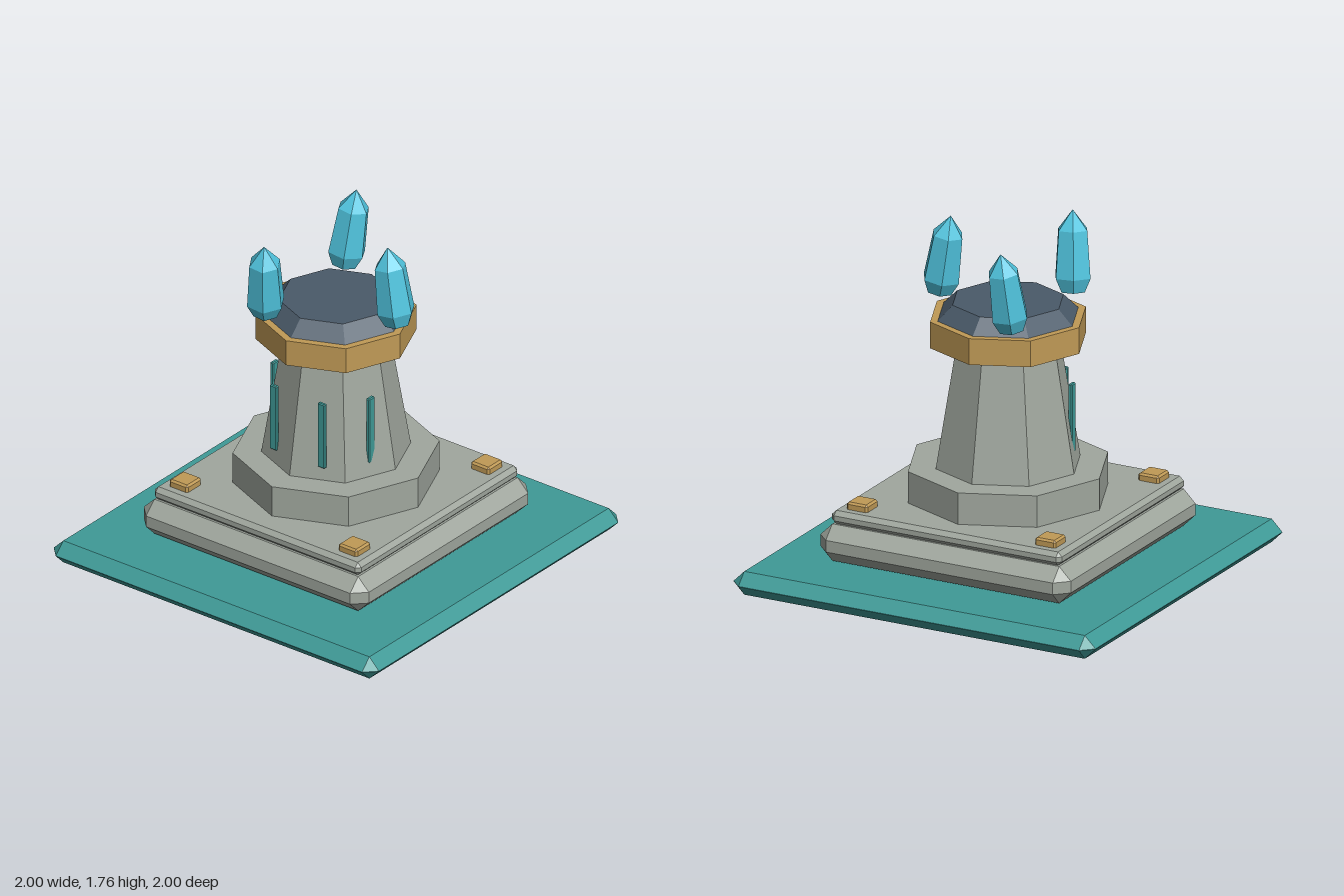
import * as THREE from 'three';
import { ConvexGeometry } from 'three/addons/geometries/ConvexGeometry.js';

function makeMaterial(name, color) {
  const m = new THREE.MeshStandardMaterial({ color, flatShading: true });
  m.name = name;
  return m;
}

// Box with every edge and corner cut by b
function chamferBox(w, h, d, b) {
  const half = [w / 2, h / 2, d / 2];
  const points = [];
  for (const sx of [-1, 1]) for (const sy of [-1, 1]) for (const sz of [-1, 1]) {
    for (let axis = 0; axis < 3; axis++) {
      const p = half.map((v, i) => (i === axis ? v : Math.max(v - b, 0.0005)));
      points.push(new THREE.Vector3(p[0] * sx, p[1] * sy, p[2] * sz));
    }
  }
  return new ConvexGeometry(points);
}

export function createModel() {
  const model = new THREE.Group();
  model.name = 'crystalTower';

  const teal = makeMaterial('teal', 0x3f9a97);
  const stone = makeMaterial('stone', 0xa0a79e);
  const gold = makeMaterial('gold', 0xc09a56);
  const slate = makeMaterial('slate', 0x4a5a69);
  const crystal = makeMaterial('crystal', 0x4fc2dc);

  function add(name, geometry, material, x, y, z) {
    const mesh = new THREE.Mesh(geometry, material);
    mesh.name = name;
    mesh.position.set(x, y, z);
    model.add(mesh);
    return mesh;
  }

  // Square slab and stepped plinth
  add('baseSlab', chamferBox(2, 0.12, 2, 0.059), teal, 0, 0.06, 0);
  add('lowerPlinth', chamferBox(1.384, 0.19, 1.384, 0.065), stone, 0, 0.225, 0);
  add('upperPlinth', chamferBox(1.27, 0.07, 1.27, 0.022), stone, 0, 0.353, 0);

  // Eight-sided tower, from the bottom up: name, top radius, bottom radius, y range
  const tiers = [
    ['collar', 0.505, 0.505, 0.385, 0.55, stone],
    ['shaft', 0.26, 0.365, 0.55, 1.18, stone],
    ['goldBand', 0.393, 0.393, 1.175, 1.31, gold],
    ['slateCap', 0.28, 0.355, 1.31, 1.385, slate],
  ];
  for (const [name, top, bottom, y0, y1, material] of tiers) {
    add(name, new THREE.CylinderGeometry(top, bottom, y1 - y0, 8), material, 0, (y0 + y1) / 2, 0);
  }

  // Corner studs and window strips, mirrored left and right
  const stud = chamferBox(0.115, 0.06, 0.115, 0.01);
  const frontStrip = chamferBox(0.044, 0.355, 0.022, 0.005);
  const sideStrip = chamferBox(0.022, 0.355, 0.044, 0.005);
  for (const s of [-1, 1]) {
    for (const t of [-1, 1]) add('cornerStud', stud, gold, s * 0.52, 0.395, t * 0.52);
    add('frontStrip', frontStrip, teal, s * 0.147, 0.795, 0.297);
    add('sideStrip', sideStrip, teal, s * 0.295, 0.795, 0.107);
  }

  // Three floating six-sided crystals, pivoting at their widest ring
  const profile = [[0, -0.07], [0.065, -0.07], [0.097, 0], [0.08, 0.235], [0, 0.335]]
    .map(([r, y]) => new THREE.Vector2(r, y));
  const crystalShape = new THREE.LatheGeometry(profile, 6, Math.PI / 6);
  for (let i = 0; i < 3; i++) {
    const a = (i * Math.PI * 2) / 3;
    const mesh = add('crystal', crystalShape, crystal, 0.368 * Math.cos(a), 1.432, 0.368 * Math.sin(a));
    mesh.rotation.set(0.155 * Math.sin(a), 0, 0.155 * Math.cos(a));
  }
  return model;
}
